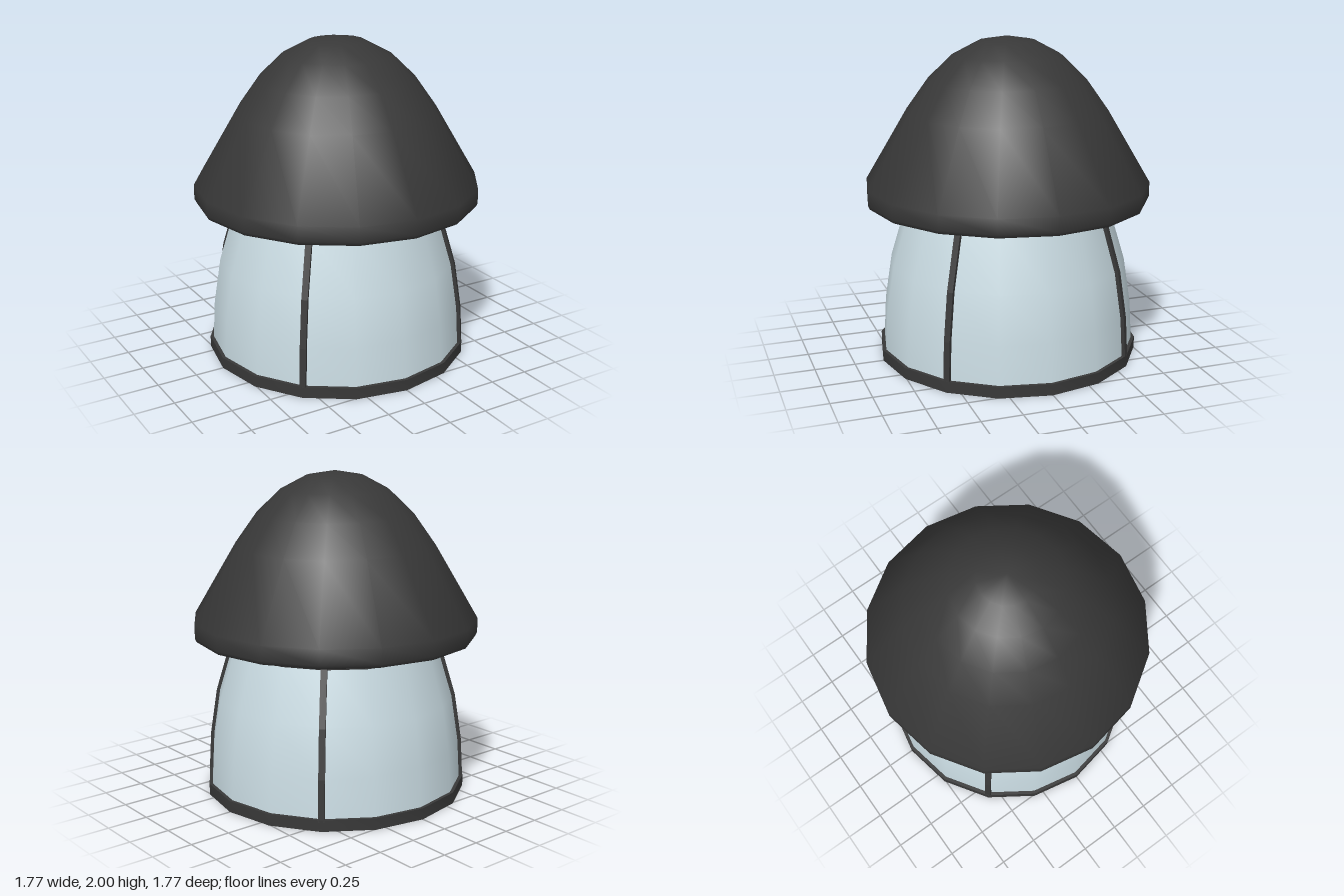
import * as THREE from 'three';
import { toCreasedNormals } from 'three/addons/utils/BufferGeometryUtils.js';

const SIDES = 16;
const dark = new THREE.MeshStandardMaterial({ color: 0x383838 });
const glass = new THREE.MeshStandardMaterial({ color: 0xcadce3 });

// Outline of the glass wall as [radius, height], bottom to top
const WALL = [[0.8, 0.055], [0.785, 0.31], [0.74, 0.6], [0.635, 0.95]];

function lathe(name, profile, material, crease = 0.7) {
  const points = profile.map(([r, y]) => new THREE.Vector2(r, y));
  const geometry = toCreasedNormals(new THREE.LatheGeometry(points, SIDES), crease);
  const mesh = new THREE.Mesh(geometry, material);
  mesh.name = name;
  return mesh;
}

export function createModel() {
  const model = new THREE.Group();
  model.name = 'domedLantern';

  // Base: a thin ring with its floor recessed from below
  model.add(lathe('base', [[0, 0.062], [0.815, 0.062], [0.815, 0], [0.82, 0], [0.82, 0.07], [0, 0.07]], dark));

  // Curved glass wall
  model.add(lathe('glassWall', WALL, glass));

  // Collar between glass and cap
  model.add(lathe('collar', [[0, 0.92], [0.652, 0.92], [0.654, 0.93], [0.637, 0.99], [0, 0.99]], dark));

  // Domed cap with a soft rounded rim
  model.add(lathe('cap', [
    [0, 0.982], [0.855, 0.982], [0.875, 0.988], [0.885, 1.01], [0.885, 1.1], [0.62, 1.55],
    [0.485, 1.74], [0.335, 1.885], [0.175, 1.97], [0, 2],
  ], dark, 1.2));

  // Four ribs following the glass on the diagonals
  const outline = [
    ...WALL.map(([r, y]) => new THREE.Vector2(r + 0.018, y)),
    ...WALL.map(([r, y]) => new THREE.Vector2(r - 0.015, y)).reverse(),
  ];
  const ribGeometry = new THREE.ExtrudeGeometry(new THREE.Shape(outline), { depth: 0.038, bevelEnabled: false });
  ribGeometry.translate(0, 0, -0.019);
  for (let i = 0; i < 4; i++) {
    const rib = new THREE.Mesh(ribGeometry, dark);
    rib.name = 'rib' + (i + 1);
    rib.rotation.y = Math.PI / 4 + (i * Math.PI) / 2;
    model.add(rib);
  }
  return model;
}
